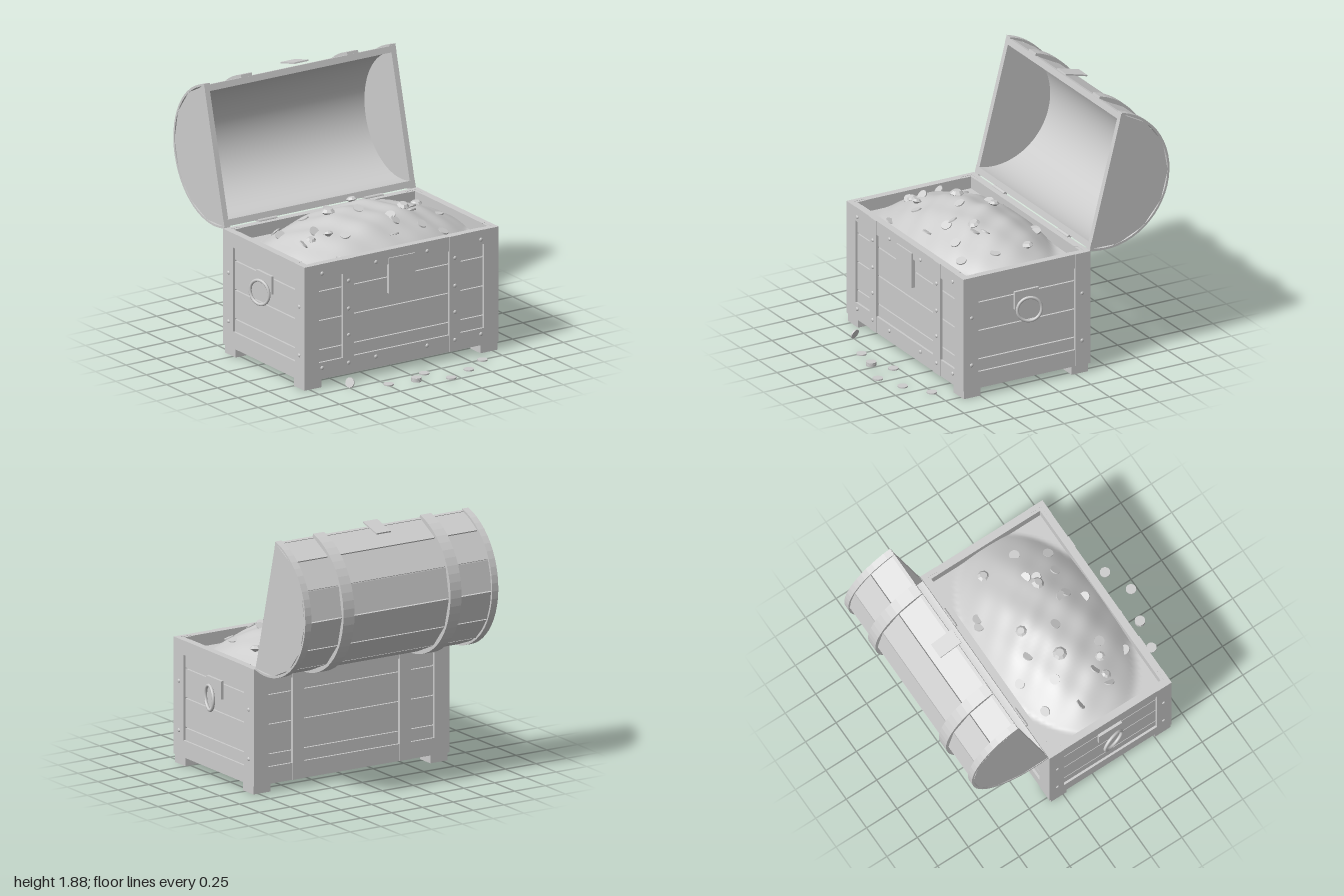
import * as THREE from 'three';

const grey = new THREE.MeshStandardMaterial({ color: 0xcccccc, side: THREE.DoubleSide });
grey.name = 'light grey';

function add(parent, name, geometry, x = 0, y = 0, z = 0) {
  const m = new THREE.Mesh(geometry, grey);
  m.name = name;
  m.position.set(x, y, z);
  parent.add(m);
  return m;
}

// box given by its min and max on each axis
function block(parent, name, x0, x1, y0, y1, z0, z1) {
  return add(parent, name, new THREE.BoxGeometry(x1 - x0, y1 - y0, z1 - z0),
    (x0 + x1) / 2, (y0 + y1) / 2, (z0 + z1) / 2);
}

function group(parent, name) {
  const g = new THREE.Group();
  g.name = name;
  parent.add(g);
  return g;
}

function rivet(parent, x, y, z = 0) {
  const r = add(parent, 'rivet', new THREE.SphereGeometry(0.014, 12, 8), x, y, z);
  r.scale.z = 0.6;
}

const BOTTOM = 0.06, TOP = 0.888, MID_Z = 0.136;

// framed plank wall whose outer face lies at local z = 0
function wall(parent, name, width, straps) {
  const g = group(parent, name);
  const h = width / 2, post = 0.12;
  block(g, 'backing', -h + 0.03, h - 0.03, BOTTOM, TOP - 0.002, -0.055, -0.034);
  const cuts = [BOTTOM, 0.27, 0.48, 0.69, TOP - 0.002];
  for (let i = 0; i < 4; i++)
    block(g, 'plank', -h + 0.02, h - 0.02, cuts[i] + 0.005, cuts[i + 1] - 0.005, -0.034, -0.018);
  block(g, 'topRail', -h + post, h - post, 0.785, TOP, -0.055, -0.002);
  block(g, 'bottomRail', -h + post, h - post, BOTTOM, 0.18, -0.034, -0.002);
  for (const s of [-1, 1]) {
    const c = s * (h - post / 2);
    block(g, 'cornerPost', c - post / 2, c + post / 2, BOTTOM, TOP, -0.034, 0);
    if (straps) block(g, 'strap', s * 0.435 - 0.045, s * 0.435 + 0.045, BOTTOM, TOP, -0.02, 0.003);
  }
  return g;
}

// arc-shaped strip (local z, y) extruded along x; segs sets the number of flats
function arcStrip(a0, a1, segs, r0, r1, width) {
  const pts = [];
  const put = (a, r) => pts.push(new THREE.Vector2(-Math.cos(a) * r, Math.sin(a) * r));
  for (let i = 0; i <= segs; i++) put(a0 + (a1 - a0) * i / segs, r1);
  if (r0 > 0) for (let i = segs; i >= 0; i--) put(a0 + (a1 - a0) * i / segs, r0);
  const geo = new THREE.ExtrudeGeometry(new THREE.Shape(pts), { depth: width, bevelEnabled: false });
  return geo.translate(0, 0, -width / 2).rotateY(-Math.PI / 2);
}

function halfTube(r, width) {
  return new THREE.CylinderGeometry(r, r, width, 40, 1, true, 0, Math.PI).rotateZ(Math.PI / 2);
}

function buildBody(root) {
  const body = group(root, 'body');
  const front = wall(body, 'frontWall', 1.59, true);
  front.position.z = 0.637;
  const back = wall(body, 'backWall', 1.59, true);
  back.position.z = -0.365;
  back.rotation.y = Math.PI;
  block(body, 'floor', -0.78, 0.78, BOTTOM, 0.085, -0.35, 0.62);

  // front rivets and lock plate
  for (const s of [-1, 1]) {
    for (const x of [0.65, 0.21]) for (const y of [0.82, 0.14]) rivet(front, s * x, y);
    for (const y of [0.73, 0.53, 0.34, 0.14]) rivet(front, s * 0.435, y, 0.003);
  }
  block(front, 'lockPlate', -0.107, 0.107, 0.575, 0.83, -0.02, 0.008);

  for (const s of [-1, 1]) {
    const side = wall(body, 'sideWall', 1.002, false);
    side.position.set(s * 0.795, 0, MID_Z);
    side.rotation.y = s * Math.PI / 2;
    for (const e of [-1, 1]) for (const y of [0.59, 0.24]) rivet(side, e * 0.435, y);
    // ring handle, swung outwards toward the back
    block(side, 'handlePlate', -0.095, 0.095, 0.58, 0.71, -0.018, 0.002);
    const ring = add(body, 'handleRing', new THREE.TorusGeometry(0.086, 0.011, 10, 32), s * 0.83, 0.577, MID_Z);
    ring.rotation.y = Math.PI / 2 - s * 0.26;
    // feet
    for (const z of [0.565, -0.285]) block(body, 'foot', s * 0.72 - 0.07, s * 0.72 + 0.07, 0, BOTTOM, z - 0.065, z + 0.065);
    // hinges
    const knuckle = new THREE.CylinderGeometry(0.014, 0.014, 0.15, 12).rotateZ(Math.PI / 2);
    add(body, 'hinge', knuckle, s * 0.435, TOP, -0.362);
  }
}

function buildLid(root) {
  const hinge = group(root, 'lid');
  hinge.position.set(0, 0.89, -0.367);
  hinge.rotation.x = -1.826;
  const R = 0.49, lid = group(hinge, 'lidShell');
  lid.position.z = 0.496;

  // seven flat planks over a round lining
  const step = Math.PI / 7;
  for (let i = 0; i < 7; i++)
    add(lid, 'lidPlank', arcStrip(i * step + 0.008, (i + 1) * step - 0.008, 1, 0.462, R, 1.5));
  add(lid, 'lidBacking', halfTube(0.466, 1.5));
  add(lid, 'lidLining', halfTube(0.445, 1.5));
  for (const s of [-1, 1]) {
    add(lid, 'lidEnd', arcStrip(0, Math.PI, 7, 0, R - 0.002, 0.04), s * 0.763);
    add(lid, 'edgeBand', arcStrip(0, Math.PI, 28, 0.485, 0.501, 0.05), s * 0.76);
    add(lid, 'lidStrap', arcStrip(0, Math.PI, 28, 0.475, 0.51, 0.09), s * 0.435);
    block(lid, 'lidRim', -0.783, 0.783, -0.002, 0.02, s * 0.4675 - 0.0225, s * 0.4675 + 0.0225);
  }
  block(hinge, 'hasp', -0.058, 0.058, -0.027, 0.149, 1.006, 1.016);
}

// height of the treasure heap
function heapHeight(x, z) {
  const r2 = (x / 0.8) ** 2 + ((z - 0.14) / 0.5) ** 2;
  if (r2 >= 1) return 0.8;
  const bumps = Math.sin(x * 13 + z * 7) * Math.cos(z * 15 - x * 5) + 0.6 * Math.sin(x * 27 - z * 19);
  return 1.045 - 0.245 * r2 + 0.012 * bumps * (1 - r2);
}

function buildTreasure(root) {
  const treasure = group(root, 'treasure');
  const geo = new THREE.PlaneGeometry(1.5, 0.91, 60, 36).rotateX(-Math.PI / 2).translate(0, 0, MID_Z);
  const p = geo.attributes.position;
  for (let i = 0; i < p.count; i++) p.setY(i, heapHeight(p.getX(i), p.getZ(i)));
  geo.computeVertexNormals();
  add(treasure, 'heap', geo);

  let seed = 7;
  const rand = () => (seed = (seed * 16807) % 2147483647) / 2147483647;
  const coin = new THREE.CylinderGeometry(0.036, 0.036, 0.009, 18);

  // half-buried coins
  const coins = [[-0.48, -0.19], [-0.23, -0.23], [0.27, -0.23], [0.32, -0.21], [-0.12, -0.09], [-0.36, -0.03],
    [-0.59, 0.03], [-0.05, 0.18], [-0.45, 0.24], [-0.56, 0.28], [-0.29, 0.38], [-0.41, 0.51], [0.11, 0.33],
    [0.12, 0.38], [0.36, 0.21], [0.32, 0.27], [0.31, 0.42], [0.46, 0.46], [0.56, 0.25], [0.04, 0.48]];
  for (const [x, z] of coins) {
    const c = add(treasure, 'coin', coin, x, heapHeight(x, z) + 0.006, z);
    c.rotation.set((rand() - 0.5) * 1.4, rand() * 3, (rand() - 0.5) * 1.4);
  }

  // cut gems: flat table, crown and pointed base
  const gems = [[-0.24, 0.09, 0.05], [0.04, -0.04, 0.04], [0.27, 0.25, 0.045], [0.55, -0.01, 0.042],
    [-0.51, 0.29, 0.034], [-0.39, 0.32, 0.036]];
  for (const [x, z, r] of gems) {
    const profile = [[0, -0.8], [1, 0], [0.6, 0.4], [0, 0.4]].map(([a, b]) => new THREE.Vector2(a * r, b * r));
    const cut = new THREE.LatheGeometry(profile, 8).toNonIndexed();
    cut.computeVertexNormals();
    const g = add(treasure, 'gem', cut, x, heapHeight(x, z) + 0.015, z);
    g.rotation.set((rand() - 0.5) * 0.6, rand() * 3, (rand() - 0.5) * 0.6);
  }

  // coins lying on the ground, one leaning on edge and one small stack
  for (const [x, z] of [[-0.24, 0.84], [-0.04, 0.88], [0.09, 0.78], [0.19, 0.96], [0.39, 0.88], [0.58, 0.76]])
    add(treasure, 'looseCoin', coin, x, 0.0045, z);
  for (const y of [0.014, 0.024]) add(treasure, 'stackedCoin', coin, -0.04, y, 0.88);
  const leaning = add(treasure, 'leaningCoin', coin, -0.495, 0.036, 0.745);
  leaning.rotation.set(0, 0.35, 1.25);
}

export function createModel() {
  const root = new THREE.Group();
  root.name = 'treasureChest';
  buildBody(root);
  buildLid(root);
  buildTreasure(root);
  return root;
}
